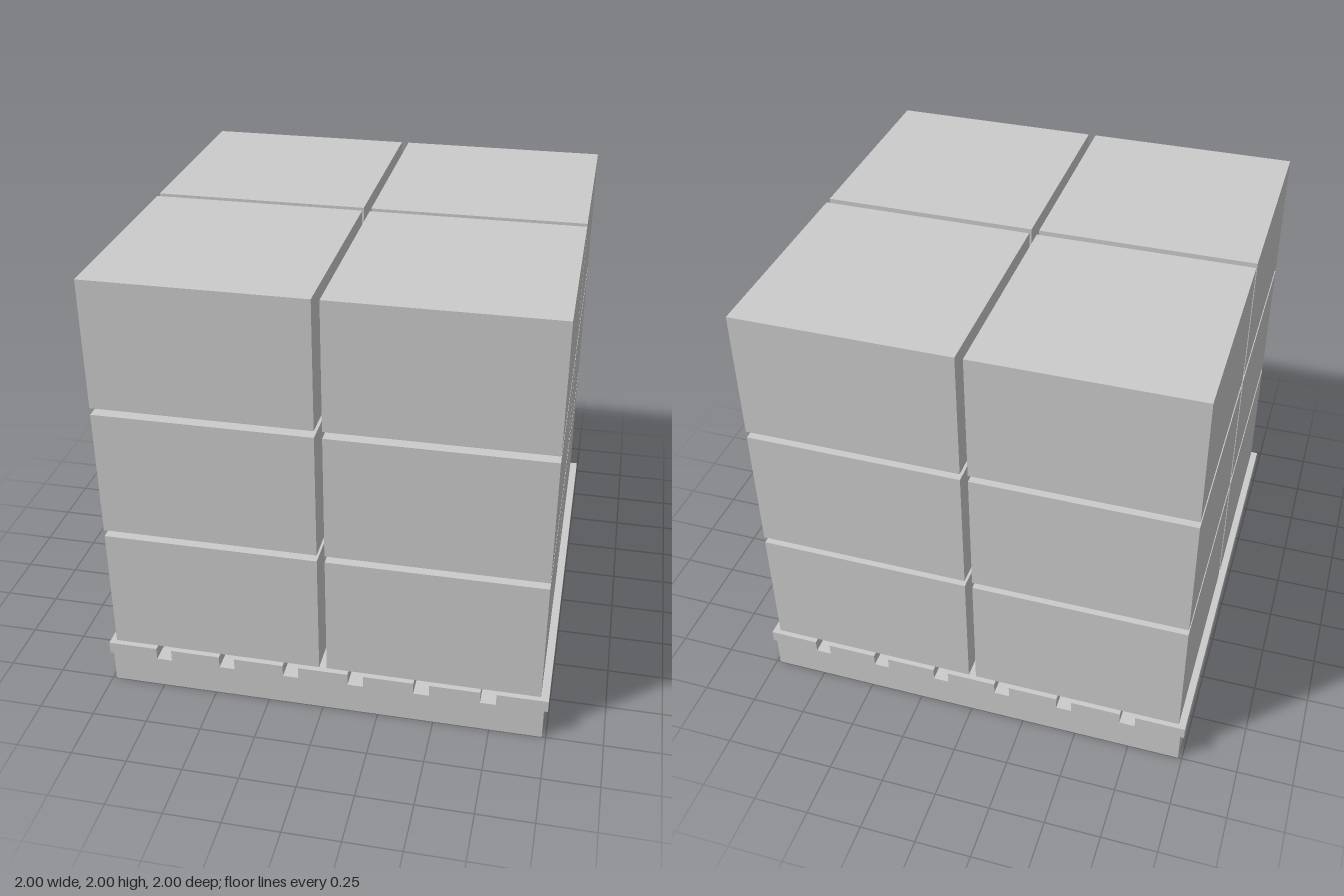
import * as THREE from 'three';

export function createModel() {
  const model = new THREE.Group();
  const material = new THREE.MeshStandardMaterial({ color: 0xcccccc, flatShading: true });

  // Box placed by its minimum corner in y and its centre in x and z
  function addBox(parent, name, w, h, d, x, bottom, z) {
    const mesh = new THREE.Mesh(new THREE.BoxGeometry(w, h, d), material);
    mesh.name = name;
    mesh.position.set(x, bottom + h / 2, z);
    parent.add(mesh);
  }

  // Pallet: three runners across, seven deck planks front to back
  const pallet = new THREE.Group();
  pallet.name = 'pallet';
  model.add(pallet);
  const runnerHeight = 0.147;
  for (const z of [-0.9, 0, 0.9]) {
    addBox(pallet, 'runner', 1.965, runnerHeight, 0.2, 0, 0, z);
  }
  const planks = 7, gap = 0.07;
  const plankWidth = (2 - gap * (planks - 1)) / planks;
  for (let i = 0; i < planks; i++) {
    const x = -1 + plankWidth / 2 + i * (plankWidth + gap);
    addBox(pallet, 'deckPlank', plankWidth, 0.056, 2, x, runnerHeight, 0);
  }

  // Load: three layers of four cartons with narrow gaps between them
  const cartons = new THREE.Group();
  cartons.name = 'cartons';
  model.add(cartons);
  const cartonHeight = 0.576, layerPitch = 0.607;
  for (let layer = 0; layer < 3; layer++) {
    const bottom = 2 - cartonHeight - (2 - layer) * layerPitch;
    for (const sx of [-1, 1]) {
      for (const sz of [-1, 1]) {
        addBox(cartons, 'carton', 0.95, cartonHeight, 0.965, sx * 0.492 - 0.002, bottom, sz * 0.5);
      }
    }
  }
  return model;
}
